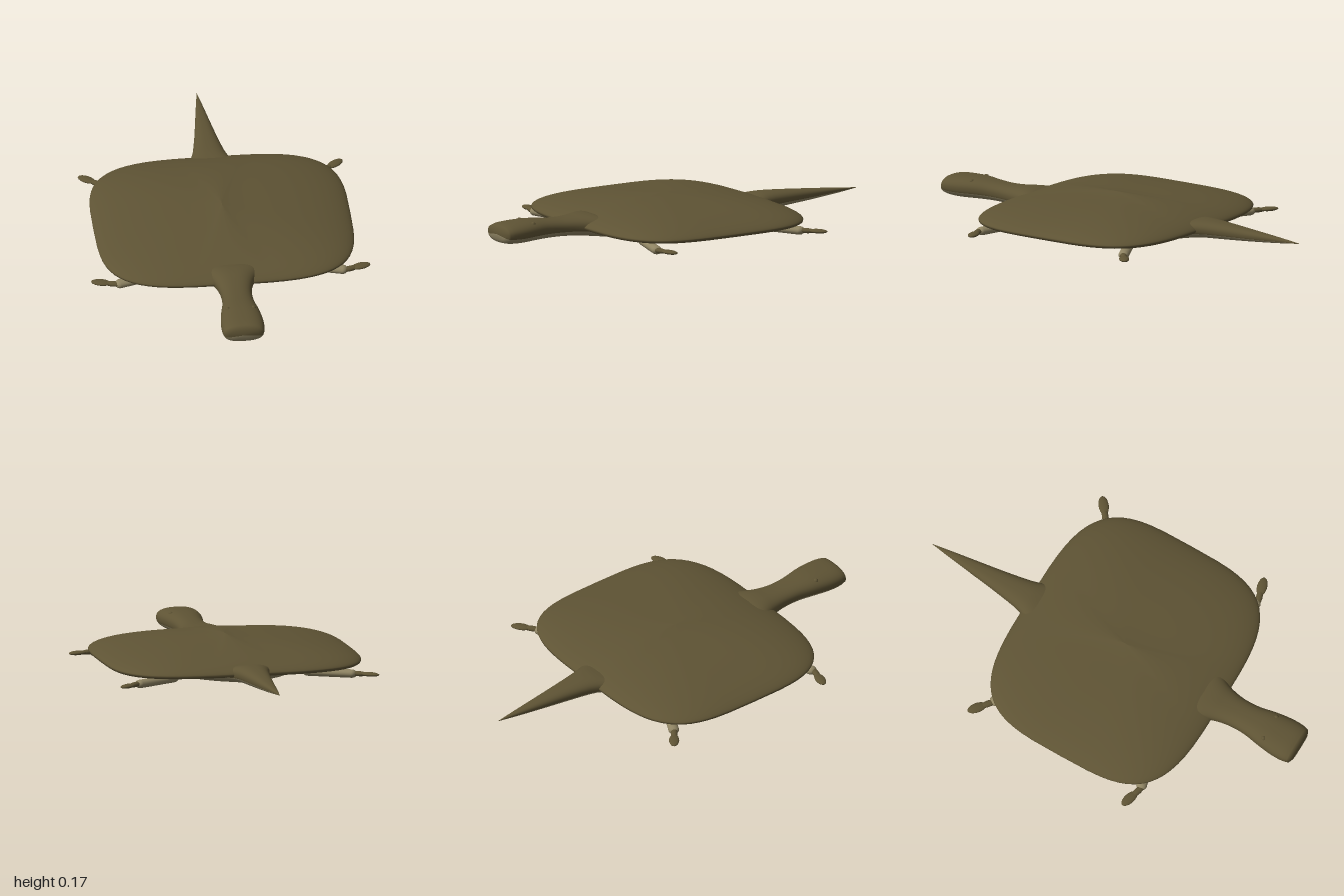
import * as THREE from 'three';

const olive = new THREE.MeshStandardMaterial({ color: 0x5e5334 });
olive.name = 'olive back';
const tan = new THREE.MeshStandardMaterial({ color: 0x8f8463 });
tan.name = 'tan underside';

const SEG = 64;
const spow = (v, p) => Math.sign(v) * Math.pow(Math.abs(v), p);

// Skin closed rings; isUnder(j) picks the second material for a column
function loft(rings, isUnder = () => false) {
  const pos = [], sets = [[], []];
  rings.forEach(r => r.forEach(p => pos.push(...p)));
  for (let i = 0; i < rings.length - 1; i++) {
    for (let j = 0; j < SEG; j++) {
      const k = (j + 1) % SEG;
      const a = i * SEG + j, b = i * SEG + k, c = a + SEG, d = b + SEG;
      sets[isUnder(j) ? 1 : 0].push(a, c, b, b, c, d);
    }
  }
  const g = new THREE.BufferGeometry();
  g.setAttribute('position', new THREE.Float32BufferAttribute(pos, 3));
  g.setIndex([...sets[0], ...sets[1]]);
  g.addGroup(0, sets[0].length, 0);
  g.addGroup(sets[0].length, sets[1].length, 1);
  g.computeVertexNormals();
  return g;
}

// Rounded-square ring of the shell at relative radius r
function shellRing(r, height) {
  return Array.from({ length: SEG }, (_, j) => {
    const t = (j / SEG) * Math.PI * 2;
    const x = 0.605 * r * spow(Math.cos(t), 0.54);
    const z = 0.05 - 0.52 * r * spow(Math.sin(t), 0.54);
    return [x, height(r, x), z];
  });
}

function add(parent, name, geometry, material) {
  const m = new THREE.Mesh(geometry, material);
  m.name = name;
  parent.add(m);
  return m;
}

// Body stations: z, half width, top, bottom
const stations = [
  [1.0, 0.0, 0.076, 0.074], [0.998, 0.07, 0.1, 0.05], [0.988, 0.092, 0.115, 0.035],
  [0.96, 0.099, 0.122, 0.028], [0.9, 0.1, 0.126, 0.025], [0.82, 0.09, 0.127, 0.028],
  [0.74, 0.075, 0.12, 0.03], [0.66, 0.073, 0.115, 0.029], [0.59, 0.085, 0.117, 0.025],
  [0.54, 0.105, 0.121, 0.02], [0.48, 0.15, 0.118, 0.014], [0.38, 0.24, 0.09, 0.008],
  [0.2, 0.3, 0.08, 0.003], [0, 0.31, 0.08, 0], [-0.2, 0.29, 0.08, 0.003],
  [-0.33, 0.21, 0.09, 0.012], [-0.41, 0.12, 0.105, 0.021], [-0.47, 0.085, 0.112, 0.028],
  [-0.6, 0.058, 0.106, 0.035], [-0.75, 0.036, 0.094, 0.045], [-0.9, 0.015, 0.081, 0.058],
  [-1, 0, 0.071, 0.069],
];

function addLeg(group, side, end, inner, ankle, tip) {
  const leg = new THREE.Group();
  leg.name = end + (side > 0 ? 'LeftLeg' : 'RightLeg');
  const [a, b, c] = [inner, ankle, tip].map(p => new THREE.Vector3(p[0] * side, p[1], p[2]));
  const place = (mesh, p, q) => {
    mesh.position.copy(p).lerp(q, 0.5);
    mesh.rotation.y = -Math.atan2(q.z - p.z, q.x - p.x);
  };
  // Upper limb lying flat under the shell
  const limb = new THREE.CapsuleGeometry(0.022, a.distanceTo(b) - 0.03, 6, 16);
  limb.rotateZ(Math.PI / 2).scale(1, 0.9, 1.15);
  place(add(leg, 'limb', limb, tan), a, b);
  // Narrow wrist and paddle foot
  const wrist = new THREE.SphereGeometry(1, 16, 10);
  wrist.scale(0.045, 0.012, 0.016);
  const w = add(leg, 'wrist', wrist, olive);
  place(w, b, c);
  w.position.copy(b).lerp(c, 0.15);
  const foot = new THREE.SphereGeometry(1, 20, 12);
  foot.scale(0.047, 0.01, 0.024);
  const f = add(leg, 'foot', foot, olive);
  place(f, b, c);
  f.position.copy(b).lerp(c, 0.62);
  group.add(leg);
}

export function createModel() {
  const group = new THREE.Group();
  group.name = 'softShellTurtle';

  // Domed shell with a soft centre ridge
  const dome = (r, x) => {
    const k = Math.max(0, 1 - r * r);
    return 0.07 + 0.086 * Math.pow(k, 0.6) + 0.014 * k * Math.exp(-Math.abs(x) / 0.07);
  };
  const radii = Array.from({ length: 25 }, (_, i) => Math.sin((i / 24) * Math.PI / 2));
  const top = radii.map(r => shellRing(r, dome));
  top.push(shellRing(0.997, () => 0.063), shellRing(0.985, () => 0.058));
  add(group, 'shellTop', loft(top), [olive, tan]);

  // Shallow shell underside
  const under = radii.slice().reverse().map(r =>
    shellRing(r * 0.985, () => 0.058 - 0.022 * Math.pow(Math.max(0, 1 - r * r), 0.7)));
  add(group, 'shellUnderside', loft(under), [tan, tan]);

  // Head, neck, belly and tail as one smooth skin, split into back and belly colours
  const curve = new THREE.CatmullRomCurve3(stations.slice(2).map(s => new THREE.Vector3(s[1], s[2], s[0])));
  const low = new THREE.CatmullRomCurve3(stations.slice(2).map(s => new THREE.Vector3(s[1], s[3], s[0])));
  const rows = stations.slice(0, 2);
  const steps = (stations.length - 3) * 3;
  for (let i = 0; i <= steps; i++) {
    const p = curve.getPoint(i / steps), q = low.getPoint(i / steps);
    rows.push([p.z, Math.max(0, p.x), p.y, Math.max(0, q.y)]);
  }
  const rings = rows.map(([z, w, t, b]) => Array.from({ length: SEG }, (_, j) => {
    const a = (j / SEG) * Math.PI * 2;
    return [w * spow(Math.cos(a), 0.8), (t + b) / 2 + (t - b) / 2 * spow(Math.sin(a), 0.85), z];
  }));
  add(group, 'body', loft(rings, j => j >= 35 && j < 61), [olive, tan]);

  for (const side of [1, -1]) {
    // Small eyes on top of the head
    const eye = add(group, side > 0 ? 'leftEye' : 'rightEye', new THREE.SphereGeometry(0.012, 14, 10), olive);
    eye.position.set(0.06, 0.112, 0.835);
    eye.position.x *= side;
    // Legs
    addLeg(group, side, 'front', [0.31, 0.026, 0.385], [0.54, 0.029, 0.452], [0.655, 0.032, 0.42]);
    addLeg(group, side, 'rear', [0.31, 0.026, -0.25], [0.525, 0.029, -0.365], [0.62, 0.032, -0.44]);
  }
  return group;
}
